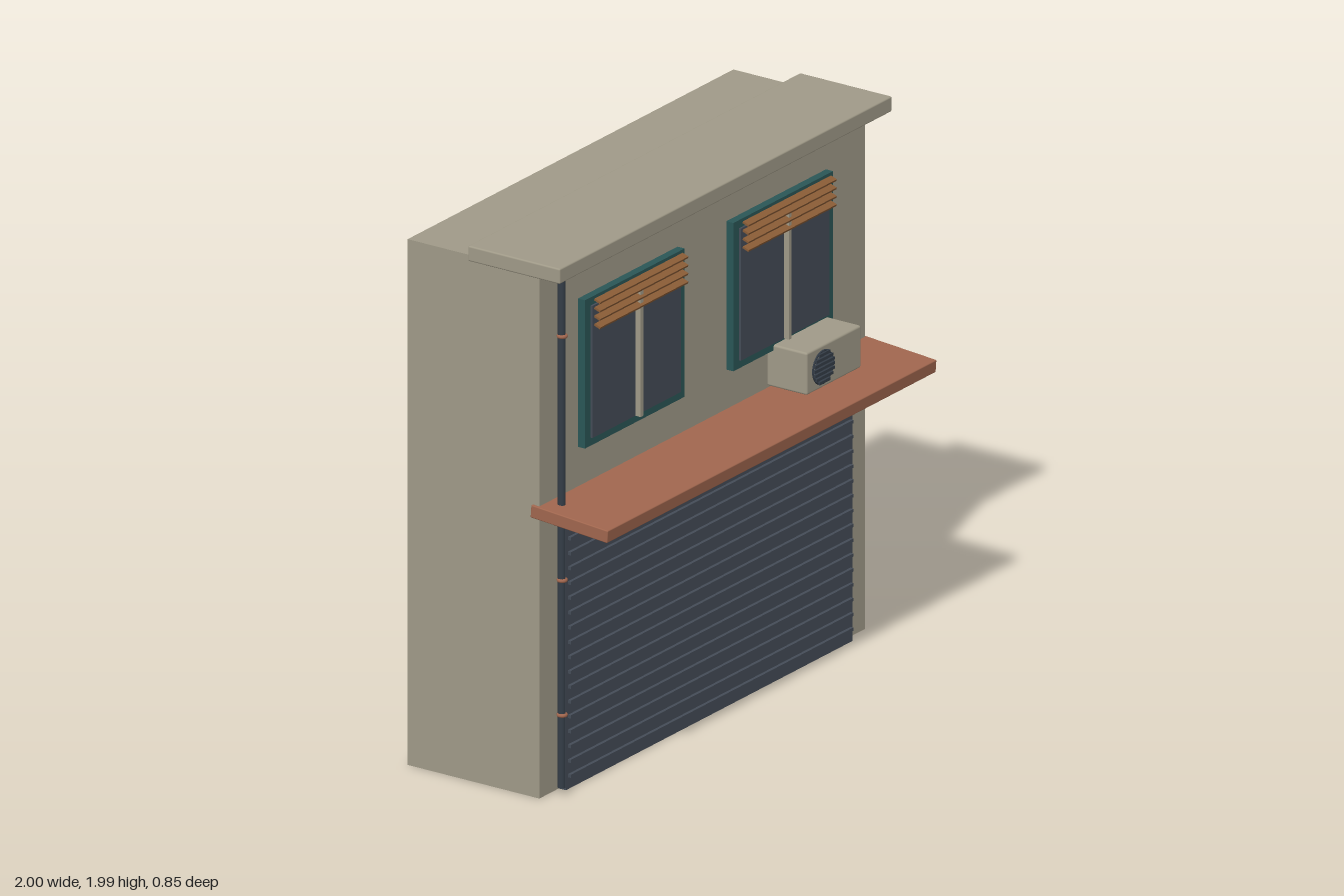
import * as THREE from 'three';
import { RoundedBoxGeometry } from 'three/addons/geometries/RoundedBoxGeometry.js';

const material = (name, color) => {
  const m = new THREE.MeshStandardMaterial({ color });
  m.name = name;
  return m;
};

export function createModel() {
  const stone = material('warm stone', 0xa09a88);
  const clay = material('terracotta', 0xa0664e);
  const slate = material('slate', 0x444c57);
  const teal = material('dark teal', 0x2a5656);
  const iron = material('dark iron', 0x343d47);
  const wood = material('blind wood', 0x8a5c36);

  const model = new THREE.Group();
  model.name = 'shopfront';

  const add = (parent, name, geometry, mat, x, y, z) => {
    const mesh = new THREE.Mesh(geometry, mat);
    mesh.name = name;
    mesh.position.set(x, y, z);
    parent.add(mesh);
    return mesh;
  };
  // Box given by its limits on each axis
  const box = (parent, name, mat, [x0, x1], [y0, y1], [z0, z1], radius = 0) => {
    const size = [x1 - x0, y1 - y0, z1 - z0];
    const geometry = radius ? new RoundedBoxGeometry(...size, 2, radius) : new THREE.BoxGeometry(...size);
    return add(parent, name, geometry, mat, (x0 + x1) / 2, (y0 + y1) / 2, (z0 + z1) / 2);
  };
  const group = (name) => {
    const g = new THREE.Group();
    g.name = name;
    model.add(g);
    return g;
  };

  // Building block and cornice
  box(model, 'walls', stone, [-0.98, 0.98], [0, 1.95], [-0.425, 0.13]);
  box(model, 'cornice', stone, [-1, 1], [1.935, 1.992], [-0.158, 0.23], 0.006);

  // Rolling shutter with raised ribs
  const shutter = group('shutter');
  box(shutter, 'shutterPanel', slate, [-0.863, 0.863], [0, 0.97], [0.125, 0.16]);
  for (let i = 0; i < 17; i++) {
    const y = 0.05 + i * 0.055;
    box(shutter, 'shutterRib', slate, [-0.85, 0.85], [y - 0.006, y + 0.006], [0.155, 0.172]);
  }

  // Sloping awning
  const awning = add(model, 'awning', new RoundedBoxGeometry(1.98, 0.047, 0.325, 2, 0.004), clay, 0, 1.05, 0.262);
  awning.rotation.x = 0.074;

  // Two windows, each with a frame, pane, mullion and raised blind
  for (const x of [-0.448, 0.445]) {
    const window = group('window');
    box(window, 'windowFrame', teal, [x - 0.3, x + 0.3], [1.23, 1.78], [0.125, 0.16]);
    box(window, 'windowPane', slate, [x - 0.266, x + 0.266], [1.26, 1.75], [0.155, 0.168]);
    box(window, 'mullion', stone, [x - 0.008, x + 0.008], [1.26, 1.738], [0.165, 0.19]);
    for (let i = 0; i < 4; i++) {
      const slat = add(window, 'blindSlat', new THREE.BoxGeometry(0.53, 0.008, 0.026), wood, x, 1.678 + i * 0.031, 0.187);
      slat.rotation.x = 0.35;
    }
  }

  // Air conditioner with a round grille of horizontal bars
  const cooler = group('airConditioner');
  box(cooler, 'coolerCase', stone, [0.387, 0.715], [1.093, 1.25], [0.13, 0.3], 0.008);
  const fanX = 0.482, fanY = 1.17, fanR = 0.06;
  add(cooler, 'grilleRing', new THREE.TorusGeometry(fanR, 0.004, 6, 32), iron, fanX, fanY, 0.301);
  for (let i = -3; i <= 3; i++) {
    const dy = i * 0.017;
    const half = Math.sqrt(fanR * fanR - dy * dy);
    box(cooler, 'grilleBar', iron, [fanX - half, fanX + half],
      [fanY + dy - 0.0055, fanY + dy + 0.0055], [0.295, 0.311]);
  }

  // Downpipe and its clamps
  const drain = group('downpipe');
  add(drain, 'pipe', new THREE.CylinderGeometry(0.014, 0.014, 1.91, 16), iron, -0.911, 0.985, 0.176);
  for (const y of [0.3, 0.8, 1.705]) {
    const clamp = add(drain, 'pipeClamp', new THREE.TorusGeometry(0.013, 0.007, 8, 20), clay, -0.911, y, 0.178);
    clamp.rotation.x = Math.PI / 2;
  }

  return model;
}
